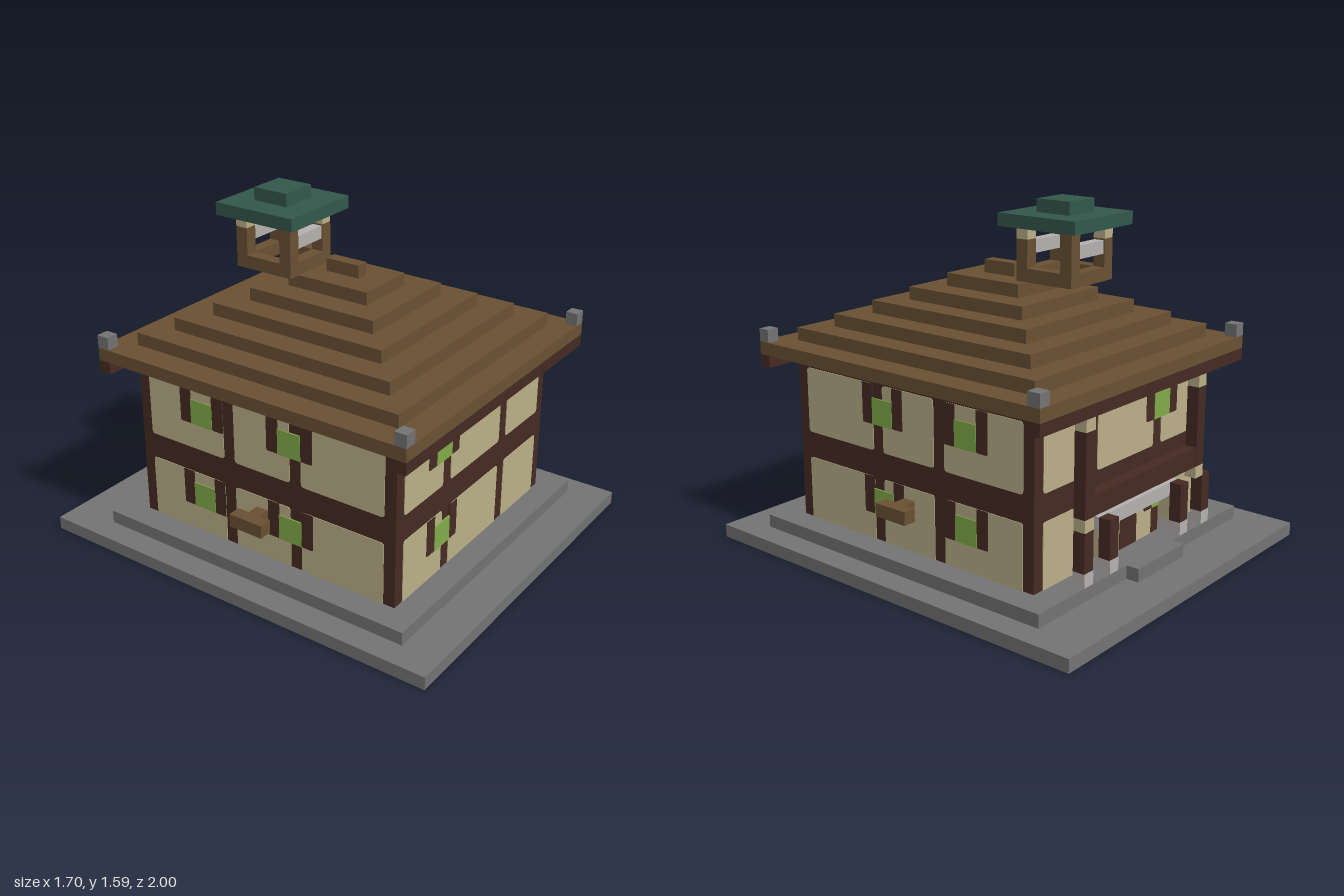
import * as THREE from 'three';

const mat = (name, color) => {
  const m = new THREE.MeshStandardMaterial({ color });
  m.name = name;
  return m;
};

export function createModel() {
  const house = new THREE.Group();
  house.name = 'timberHouse';
  const stone = mat('stone', 0x737373), timber = mat('darkTimber', 0x452a22);
  const wood = mat('roofWood', 0x6a5033), plaster = mat('plaster', 0xbbb088);
  const glass = mat('greenGlass', 0x82ab4a), teal = mat('tealRoof', 0x33574b);
  const pale = mat('paleStone', 0xb5b1af);

  // Box given by its lower and upper limits on each axis
  const box = (name, m, x0, x1, y0, y1, z0, z1, parent = house) => {
    const mesh = new THREE.Mesh(new THREE.BoxGeometry(x1 - x0, y1 - y0, z1 - z0), m);
    mesh.position.set((x0 + x1) / 2, (y0 + y1) / 2, (z0 + z1) / 2);
    mesh.name = name;
    parent.add(mesh);
    return mesh;
  };

  // Stone plinth and back doorstep
  box('plinthLower', stone, -0.85, 0.85, 0, 0.06, -1, 1);
  box('plinthUpper', stone, -0.735, 0.735, 0.06, 0.12, -0.765, 0.82);
  box('doorstep', stone, -0.2, 0.145, 0.06, 0.12, -0.825, -0.765);

  // Timber body
  box('timberFrame', timber, -0.615, 0.615, 0.12, 0.885, -0.645, 0.705);

  // Thin plate with chamfered corners, lying in a wall's own plane
  const plate = (name, m, u0, u1, y0, y1, depth, parent, top = 0, bottom = 0) => {
    const s = new THREE.Shape();
    s.moveTo(u0 + bottom, y0);
    s.lineTo(u1 - bottom, y0);
    s.quadraticCurveTo(u1, y0, u1, y0 + bottom);
    s.lineTo(u1, y1 - top);
    s.quadraticCurveTo(u1, y1, u1 - top, y1);
    s.lineTo(u0 + top, y1);
    s.quadraticCurveTo(u0, y1, u0, y1 - top);
    s.lineTo(u0, y0 + bottom);
    s.quadraticCurveTo(u0, y0, u0 + bottom, y0);
    const g = new THREE.ExtrudeGeometry(s, { depth, bevelEnabled: false, curveSegments: 3 });
    const mesh = new THREE.Mesh(g, m);
    mesh.name = name;
    parent.add(mesh);
  };

  // A wall: plaster bays on two floors, with framed windows over them
  const wall = (name, bays, windows) => {
    const g = new THREE.Group();
    g.name = name;
    for (const [floor, y0, y1] of [[0, 0.12, 0.41], [1, 0.53, 0.83]]) {
      for (const [a, b] of bays) {
        plate('plasterPanel', plaster, a, b, y0, y1, 0.003, g, 0.015, floor * 0.015);
      }
      const sill = floor ? 0.65 : 0.24;
      for (const w of windows) {
        plate('windowJamb', timber, w - 0.118, w - 0.058, sill, y1, 0.005, g, 0, 0.008);
        plate('windowJamb', timber, w + 0.058, w + 0.118, sill, y1, 0.005, g, 0, 0.008);
        plate('windowPane', glass, w - 0.059, w + 0.059, sill, sill + 0.117, 0.007, g);
      }
    }
    house.add(g);
    return g;
  };

  const endBays = [[-0.56, -0.265], [-0.205, 0.205], [0.265, 0.56]];
  wall('frontWall', endBays, [-0.265]).position.z = 0.705;
  const back = wall('backWall', endBays.map(([a, b]) => [-b, -a]), [0.265]);
  back.rotation.y = Math.PI;
  back.position.z = -0.645;
  // Back door
  plate('backDoor', timber, -0.035, 0.09, 0.12, 0.26, 0.005, back, 0.02, 0);

  // Side walls, mirrored along z
  const sideBays = [[-0.59, -0.174], [-0.115, 0.18], [0.238, 0.65]];
  const sideWindows = [0.18, -0.292];
  const plusSide = wall('leftWall', sideBays.map(([a, b]) => [-b, -a]), sideWindows.map(w => -w));
  plusSide.rotation.y = Math.PI / 2;
  plusSide.position.x = 0.615;
  const minusSide = wall('rightWall', sideBays, sideWindows);
  minusSide.rotation.y = -Math.PI / 2;
  minusSide.position.x = -0.615;

  // Side brackets
  for (const s of [-1, 1]) {
    const cx = d => [s * d - 0.03, s * d + 0.03];
    box('bracketArm', wood, ...cx(0.645), 0.295, 0.355, 0, 0.06);
    box('bracketBar', wood, ...cx(0.705), 0.295, 0.355, -0.055, 0.115);
  }

  // Stepped roof with eave beams and corner stones
  const tiers = [
    [0.735, -0.765, 0.82], [0.615, -0.645, 0.705], [0.5, -0.53, 0.59],
    [0.38, -0.41, 0.47], [0.265, -0.295, 0.35], [0.145, -0.175, 0.235]];
  tiers.forEach(([x, z0, z1], i) => {
    const y = 0.885 + i * 0.0587;
    box('roofTier', wood, -x, x, y, y + 0.0587, z0, z1);
  });
  box('roofRidge', wood, -0.03, 0.028, 1.237, 1.296, -0.055, 0.115);
  for (const [z0, z1] of [[0.765, 0.82], [-0.765, -0.705]]) {
    box('eaveBeam', timber, -0.735, 0.735, 0.83, 0.885, z0, z1);
    for (const x of [-0.735, 0.677]) {
      box('cornerStone', stone, x, x + 0.058, 0.944, 1.002, z0, z1);
    }
  }

  // Back porch: tall upper posts on a cross beam
  const porch = new THREE.Group();
  porch.name = 'backPorch';
  house.add(porch);
  box('porchBeam', timber, -0.44, 0.44, 0.41, 0.5, -0.76, -0.705, porch);
  for (const x of [-0.41, 0.41]) {
    box('upperPost', timber, x - 0.03, x + 0.03, 0.41, 0.775, -0.762, -0.705, porch);
    box('upperPostCap', plaster, x - 0.03, x + 0.03, 0.775, 0.83, -0.762, -0.705, porch);
    box('postCollar', plaster, x - 0.03, x + 0.03, 0.355, 0.41, -0.762, -0.705, porch);
  }
  // Lower posts on pale feet
  for (const x of [-0.47, -0.295, 0.235, 0.41]) {
    box('lowerPost', timber, x - 0.03, x + 0.03, 0.18, 0.357, -0.762, -0.705, porch);
    box('postFoot', pale, x - 0.03, x + 0.03, 0.12, 0.18, -0.764, -0.705, porch);
  }
  // Door surround
  for (const x of [-0.295, 0.235]) {
    box('surroundFoot', pale, x - 0.03, x + 0.03, 0.12, 0.18, -0.705, -0.645, porch);
    box('surroundShaft', plaster, x - 0.03, x + 0.03, 0.18, 0.295, -0.705, -0.645, porch);
  }
  box('surroundLintel', pale, -0.325, 0.265, 0.295, 0.357, -0.705, -0.645, porch);

  // Roof turret: base ring, posts, pale rails and two-step cap
  const turret = new THREE.Group();
  turret.name = 'turret';
  house.add(turret);
  for (const z of [-0.41, -0.175]) {
    box('turretSill', wood, -0.205, 0.085, 1.237, 1.296, z, z + 0.058, turret);
    box('turretRail', pale, -0.148, 0.027, 1.355, 1.413, z + 0.005, z + 0.053, turret);
  }
  for (const x of [-0.205, 0.027]) {
    box('turretSill', wood, x, x + 0.058, 1.237, 1.296, -0.352, -0.175, turret);
    for (const z of [-0.41, -0.175]) {
      const capped = (x > 0) === (z > -0.3) && (x > 0 || z < -0.3);
      const top = capped ? 1.42 : 1.475;
      box('turretPost', wood, x, x + 0.058, 1.296, top, z, z + 0.058, turret);
      if (capped) box('turretPostCap', plaster, x, x + 0.058, top, 1.475, z, z + 0.058, turret);
    }
  }
  box('turretRoof', teal, -0.265, 0.143, 1.475, 1.532, -0.47, -0.06, turret);
  box('turretRoofTop', teal, -0.147, 0.027, 1.532, 1.59, -0.352, -0.178, turret);

  return house;
}
